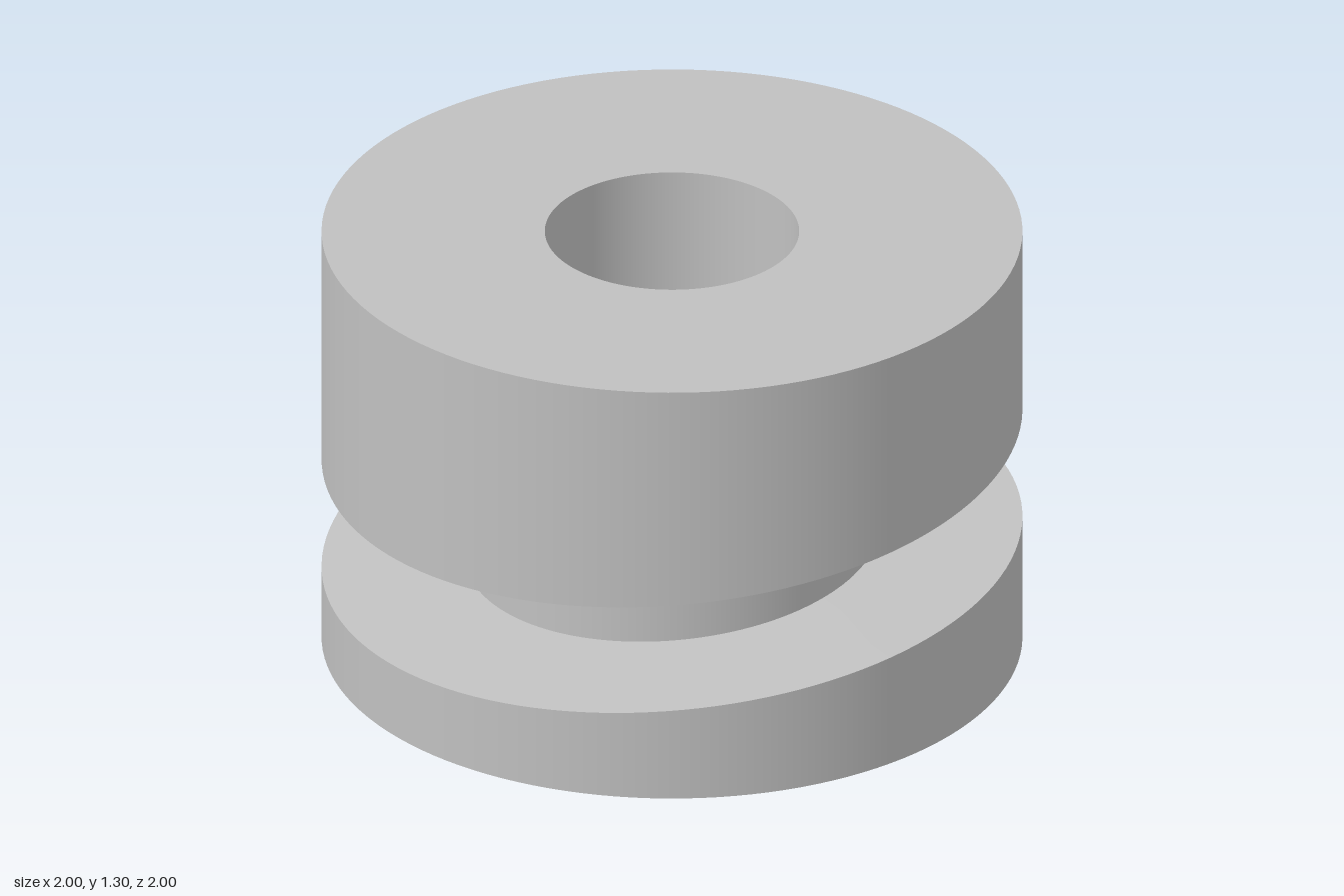
import * as THREE from 'three';

const BORE = 0.363, HUB = 0.592, RIM = 1, TOP = 1.305;

// heights of the surfaces; the groove faces slope along x
const base = () => 0;
const grooveFloor = (x) => 0.3155 + 0.0865 * x - 0.009 * x * x;
const grooveRoof = (x) => 0.6525 + 0.0865 * x;
const top = () => TOP;

export function createModel() {
  const group = new THREE.Group();
  const steel = new THREE.MeshStandardMaterial({ color: 0xc0c0c0 });
  steel.name = 'grey';

  // one revolved strip between two radii, its ends lifted to two height rules
  function strip(name, r0, h0, r1, h1) {
    const steps = r0 === r1 ? 1 : 4;
    const points = [];
    for (let i = 0; i <= steps; i++) {
      const t = i / steps;
      points.push(new THREE.Vector2(r0 + (r1 - r0) * t, t));
    }
    const geometry = new THREE.LatheGeometry(points, 128);
    const p = geometry.attributes.position;
    for (let i = 0; i < p.count; i++) {
      const t = (i % (steps + 1)) / steps, x = p.getX(i);
      p.setY(i, h0(x) * (1 - t) + h1(x) * t);
    }
    // walls keep their radial normals, sloped faces need new ones
    if (r0 !== r1) geometry.computeVertexNormals();
    const mesh = new THREE.Mesh(geometry, steel);
    mesh.name = name;
    group.add(mesh);
  }

  // closed profile, from the bottom face round to the bore
  strip('bottomFace', BORE, base, RIM, base);
  strip('lowerFlangeWall', RIM, base, RIM, grooveFloor);
  strip('grooveFloor', RIM, grooveFloor, HUB, grooveFloor);
  strip('hubWall', HUB, grooveFloor, HUB, grooveRoof);
  strip('grooveRoof', HUB, grooveRoof, RIM, grooveRoof);
  strip('upperBodyWall', RIM, grooveRoof, RIM, top);
  strip('topFace', RIM, top, BORE, top);
  strip('boreWall', BORE, top, BORE, base);

  group.name = 'groovedBushing';
  return group;
}
